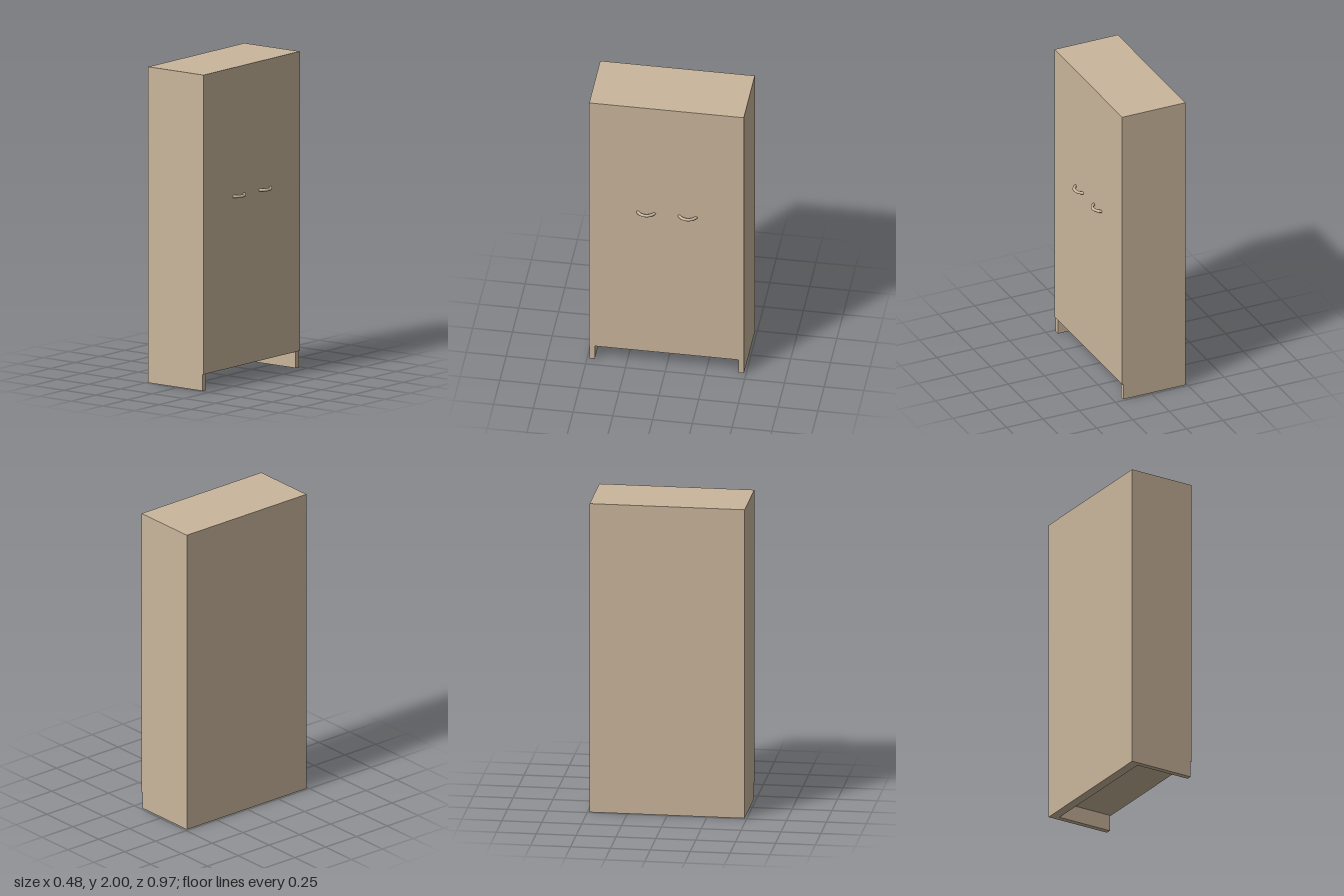
import * as THREE from 'three';

export function createModel() {
  const root = new THREE.Group();
  root.name = 'wardrobe';
  const wood = new THREE.MeshStandardMaterial({ color: 0xc9b59b });
  wood.name = 'light wood';

  // Box given by its limits on each axis
  const panel = (name, x0, x1, y0, y1, z0, z1) => {
    const mesh = new THREE.Mesh(new THREE.BoxGeometry(x1 - x0, y1 - y0, z1 - z0), wood);
    mesh.position.set((x0 + x1) / 2, (y0 + y1) / 2, (z0 + z1) / 2);
    mesh.name = name;
    root.add(mesh);
  };

  const back = -0.239, carcass = 0.19, face = 0.197;
  const half = 0.486, inner = 0.452, plinth = 0.105;

  // Side panels run to the floor and serve as legs
  panel('leftSide', back, carcass, 0, 2, inner, half);
  panel('rightSide', back, carcass, 0, 2, -half, -inner);

  // Back, top and raised floor between the sides
  panel('backPanel', back, back + 0.06, 0, 2, -inner, inner);
  panel('topPanel', back + 0.06, carcass, 1.966, 2, -inner, inner);
  panel('floorPanel', back + 0.06, carcass, plinth, plinth + 0.034, -inner, inner);

  // Thin closed front, stopping above the open plinth
  panel('doorFront', carcass, face, plinth, 2, -half, half);

  // Curved pulls: horizontal arcs whose ends sink into the doors
  const arcRadius = 0.058, centreX = 0.1695;
  const halfAngle = Math.acos((face - 0.004 - centreX) / arcRadius) + 0.05;
  for (const z of [0.129, -0.133]) {
    const geometry = new THREE.TorusGeometry(arcRadius, 0.0095, 12, 24, 2 * halfAngle);
    geometry.rotateZ(-halfAngle);
    geometry.rotateX(Math.PI / 2);
    const handle = new THREE.Mesh(geometry, wood);
    handle.position.set(centreX, 1.184, z);
    handle.name = z > 0 ? 'leftHandle' : 'rightHandle';
    root.add(handle);
  }
  return root;
}
